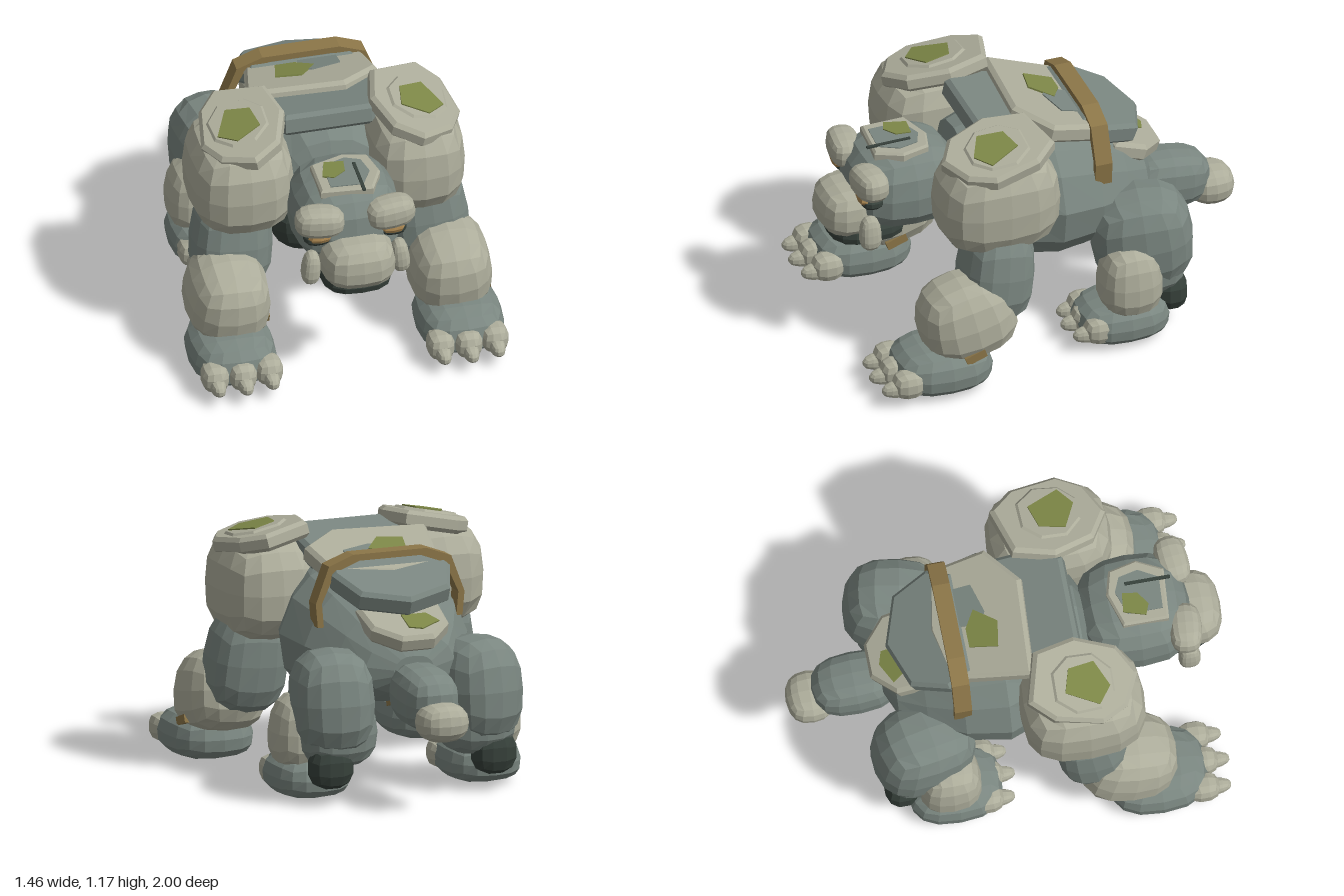
import * as THREE from 'three';

const mat = (name, color) => Object.assign(new THREE.MeshStandardMaterial({ color, flatShading: true }), { name });

export function createModel() {
  const model = new THREE.Group();
  model.name = 'stoneBeast';
  const pale = mat('paleStone', 0xadad9b), grey = mat('greyStone', 0x7a8680);
  const dark = mat('darkStone', 0x37413b), moss = mat('moss', 0x7d8747);
  const strap = mat('leather', 0x8c7648), eye = mat('amberEye', 0xa5824e);

  const add = (name, geo, material, parent = model) => {
    const mesh = new THREE.Mesh(geo, material);
    mesh.name = name;
    parent.add(mesh);
    return mesh;
  };

  // Rounded boulder: a subdivided box pulled onto a superellipsoid; taper widens (+) or narrows (-) its top,
  // point narrows its front
  function rock(name, material, pos, half, { n = 2.6, rot = [0, 0, 0], taper = 0, point = 0, seg = 4 } = {}) {
    const geo = new THREE.BoxGeometry(2, 2, 2, seg, seg, seg), p = geo.attributes.position;
    for (let i = 0; i < p.count; i++) {
      const v = [p.getX(i), p.getY(i), p.getZ(i)];
      const k = Math.pow(v.reduce((s, c) => s + Math.abs(c) ** n, 0), -1 / n);
      const t = 1 + taper * v[1] * k, f = 1 - point * v[2] * k;
      p.setXYZ(i, v[0] * k * half[0] * t * f, v[1] * k * half[1] * f, v[2] * k * half[2] * t);
    }
    geo.computeVertexNormals();
    const mesh = add(name, geo, material);
    mesh.position.set(...pos);
    mesh.rotation.set(...rot);
    return mesh;
  }

  // Bevelled slab from an outline in x and z, its top at y = 0
  function slab(name, material, pts, thick, parent, bevel = 0.018) {
    const shape = new THREE.Shape(pts.map(([x, z]) => new THREE.Vector2(x, z)));
    const geo = new THREE.ExtrudeGeometry(shape, { depth: thick - 2 * bevel, bevelEnabled: bevel > 0,
      bevelThickness: bevel, bevelSize: bevel, bevelOffset: -bevel, bevelSegments: 1 });
    geo.translate(0, 0, bevel).rotateX(Math.PI / 2);
    return add(name, geo, material, parent);
  }
  function tilted(name, pos, rx, rz = 0) {
    const g = new THREE.Group();
    g.name = name;
    g.position.set(...pos);
    g.rotation.set(rx, 0, rz);
    model.add(g);
    return g;
  }
  const patch = (pts, parent, y = 0.006) => { slab('mossPatch', moss, pts, 0.008, parent, 0).position.y = y; };

  // Body: rings of [z, half width, bottom, top] lofted from chest to rump
  const rings = [[0.4, 0.14, 0.5, 0.84], [0.34, 0.27, 0.4, 0.98], [0.16, 0.36, 0.36, 1.03], [-0.04, 0.44, 0.36, 1.02],
    [-0.24, 0.4, 0.38, 0.96], [-0.4, 0.31, 0.42, 0.85], [-0.52, 0.22, 0.48, 0.75], [-0.57, 0.1, 0.54, 0.66]];
  const N = 16, verts = [], idx = [];
  const pow = (c) => Math.sign(c) * Math.abs(c) ** 0.75;
  for (const [z, w, y0, y1] of rings) for (let i = 0; i < N; i++) {
    const a = i / N * Math.PI * 2, s = pow(Math.sin(a));
    verts.push(pow(Math.cos(a)) * w * (1 - 0.2 * Math.max(0, s)), (y0 + y1) / 2 + s * (y1 - y0) / 2, z);
  }
  for (let r = 0; r < rings.length - 1; r++) for (let i = 0; i < N; i++) {
    const a = r * N + i, b = r * N + (i + 1) % N;
    idx.push(a, a + N, b, b, a + N, b + N);
  }
  const last = (rings.length - 1) * N;
  for (let i = 1; i < N - 1; i++) idx.push(0, i, i + 1, last, last + i + 1, last + i);
  const bodyGeo = new THREE.BufferGeometry();
  bodyGeo.setAttribute('position', new THREE.Float32BufferAttribute(verts, 3));
  bodyGeo.setIndex(idx);
  bodyGeo.computeVertexNormals();
  add('body', bodyGeo, grey);
  rock('chest', dark, [0, 0.53, 0.28], [0.275, 0.15, 0.14], { n: 2.8, taper: 0.1 });

  // Back plates, overlapping from neck to rump
  let g = tilted('neckPlate', [0, 1.09, 0.15], -0.2);
  slab('neckSlab', grey, [[-0.27, -0.17], [0.27, -0.17], [0.27, 0.05], [0.2, 0.16], [-0.2, 0.16], [-0.27, 0.05]], 0.1, g);
  g = tilted('backPlate', [0, 1.075, -0.08], -0.25);
  slab('backSlab', pale, [[-0.25, -0.22], [0, -0.27], [0.28, -0.22], [0.31, 0.05], [0.13, 0.19], [-0.33, 0.16]], 0.09, g);
  slab('backHollow', grey, [[-0.02, -0.13], [0.16, -0.14], [0.16, -0.04], [0.02, 0], [-0.04, -0.03]], 0.009, g, 0).position.y = 0.005;
  patch([[-0.13, -0.1], [-0.04, -0.1], [0.04, -0.05], [-0.04, 0.05], [-0.16, 0.03]], g, 0.008);
  g = tilted('hipPlate', [0, 0.985, -0.38], -0.38);
  slab('hipSlab', grey, [[-0.24, 0.2], [-0.29, 0.08], [-0.22, -0.1], [0, -0.18], [0.22, -0.1], [0.29, 0.08], [0.24, 0.2]], 0.1, g);
  g = tilted('rumpPlate', [0, 0.81, -0.5], -0.36);
  slab('rumpSlab', pale, [[-0.2, 0.14], [-0.19, -0.03], [-0.08, -0.14], [0.08, -0.14], [0.19, -0.03], [0.2, 0.14]], 0.085, g);
  patch([[-0.14, -0.03], [-0.04, -0.08], [0.02, -0.06], [0.02, 0.04], [-0.1, 0.04]], g);

  // Leather strap arched over the back
  const arch = [[0.355, 0.76], [0.365, 0.87], [0.3, 1.04], [0.18, 1.085]];
  const mirror = (pts) => [...pts, ...pts.map(([x, y]) => [-x, y]).reverse()];
  const inner = mirror(arch.map(([x, y]) => [x - 0.03, y - (y > 1 ? 0.03 : 0)])).reverse();
  const strapShape = new THREE.Shape([...mirror(arch), ...inner].map(([x, y]) => new THREE.Vector2(x, y)));
  add('strap', new THREE.ExtrudeGeometry(strapShape, { depth: 0.08, bevelEnabled: false }), strap).position.z = -0.29;

  // Tail
  rock('tail', grey, [0, 0.495, -0.68], [0.135, 0.14, 0.205], { rot: [-0.1, 0, 0] });
  rock('tailTip', pale, [0, 0.42, -0.89], [0.12, 0.09, 0.11], { n: 2.4 });

  // Head, muzzle and crown
  rock('head', grey, [0, 0.8, 0.6], [0.25, 0.195, 0.26], { n: 2.8, taper: -0.06 });
  rock('muzzle', pale, [0, 0.695, 0.84], [0.17, 0.117, 0.16], { n: 2.9, taper: -0.05 });
  rock('jaw', dark, [0, 0.59, 0.78], [0.165, 0.06, 0.18], { n: 3 });
  g = tilted('crown', [0, 1.003, 0.62], 0.02);
  slab('crownRim', pale, [[-0.14, -0.09], [0.02, -0.14], [0.13, -0.11], [0.16, 0.02], [0.1, 0.14], [-0.14, 0.12]], 0.05, g, 0.01);
  slab('crownHollow', grey, [[-0.09, -0.06], [0.02, -0.1], [0.09, -0.07], [0.11, 0.02], [0.06, 0.11], [-0.09, 0.1]], 0.009, g, 0).position.y = 0.004;
  patch([[-0.08, -0.08], [0.01, -0.07], [0, 0], [-0.06, 0.04], [-0.11, 0.02]], g, 0.009);
  slab('crownCrack', dark, [[0.045, -0.05], [0.06, -0.05], [0.06, 0.16], [0.045, 0.16]], 0.009, g, 0).position.y = 0.009;

  // Paired parts
  const flip = (s, pts) => pts.map(([x, z]) => [s * x, z]);
  for (const s of [1, -1]) {
    const side = s > 0 ? 'left' : 'right';
    const part = (name, m, [x, y, z], half, o = {}) => {
      const [rx, ry, rz] = o.rot || [0, 0, 0];
      return rock(side + name, m, [s * x, y, z], half, { ...o, rot: [rx, s * ry, s * rz] });
    };

    // Face
    part('Brow', pale, [0.165, 0.89, 0.81], [0.115, 0.072, 0.075], { n: 2.7, rot: [0, 0.1, 0.05] });
    part('EyeSocket', dark, [0.175, 0.805, 0.805], [0.065, 0.033, 0.052], { seg: 3 });
    part('Eye', eye, [0.17, 0.82, 0.84], [0.055, 0.022, 0.03], { seg: 2 });
    part('Tusk', pale, [0.207, 0.65, 0.82], [0.042, 0.085, 0.05], { rot: [0, 0, 0.08], taper: -0.12 });

    // Shoulder with its capping plate; the right one is a little broader
    part('Shoulder', pale, [s > 0 ? 0.395 : 0.415, 0.85, 0.285], [s > 0 ? 0.222 : 0.238, 0.24, 0.285], { n: 2.9, taper: -0.03 });
    const cap = tilted(side + 'ShoulderPlate', [s * 0.405, 1.115, 0.29], 0.13, -s * 0.2);
    slab('shoulderSlab', pale, flip(s, [[0.07, -0.26], [-0.16, -0.2], [-0.205, -0.01], [-0.14, 0.18],
      [-0.01, 0.26], [0.14, 0.19], [0.205, 0.07], [0.165, -0.15]]), 0.08, cap);
    slab('shoulderBoss', pale, flip(s, [[0.08, -0.14], [-0.05, -0.14], [-0.12, -0.06], [-0.12, 0.06],
      [-0.04, 0.14], [0.07, 0.14], [0.14, 0.07], [0.15, -0.05]]), 0.03, cap, 0.01).position.y = 0.01;
    patch(flip(s, [[0.05, -0.09], [-0.06, -0.06], [-0.08, 0.06], [0.04, 0.12], [0.12, 0.06]]), cap, 0.016);

    // Front leg, with a scrap of leather at the wrist
    part('UpperArm', grey, [0.455, 0.51, 0.31], [0.185, 0.25, 0.165], { n: 2.8, rot: [-0.12, 0, 0.08], taper: -0.06 });
    part('Forearm', pale, [0.515, 0.33, 0.48], [0.19, 0.195, 0.225], { rot: [0.2, 0, 0.04], taper: -0.1 });
    part('FrontFoot', grey, [0.53, 0.115, 0.605], [0.2, 0.115, 0.235], { taper: -0.06 });
    const tie = add(side + 'WristTie', new THREE.BoxGeometry(0.04, 0.04, 0.1), strap);
    tie.position.set(s * 0.515 + 0.165, 0.2, 0.49);
    tie.rotation.x = 0.35;

    // Hind leg
    part('Thigh', grey, [0.35, 0.45, -0.435], [0.19, 0.25, 0.235], { rot: [0.1, -0.2, 0] });
    part('Shin', pale, [0.46, 0.31, -0.335], [0.14, 0.18, 0.145], { taper: -0.1 });
    part('Calf', grey, [0.34, 0.32, -0.47], [0.18, 0.16, 0.16]);
    part('Heel', dark, [0.4, 0.175, -0.545], [0.105, 0.1, 0.08], { seg: 3 });
    part('HindFoot', grey, [0.42, 0.105, -0.305], [0.18, 0.105, 0.22], { taper: -0.06 });

    // Toes, each a knuckle with a smaller pointed claw
    const toes = [[0.4, 0.8], [0.525, 0.815], [0.65, 0.8], [0.3, -0.17], [0.41, -0.15], [0.52, -0.17]];
    for (const [x, z] of toes) {
      part('Toe', pale, [x, 0.1, z], [0.064, 0.066, 0.075], { seg: 3 });
      part('Claw', pale, [x, 0.085, z + 0.068], [0.036, 0.038, 0.06], { seg: 3, point: 0.25 });
    }
  }
  return model;
}
